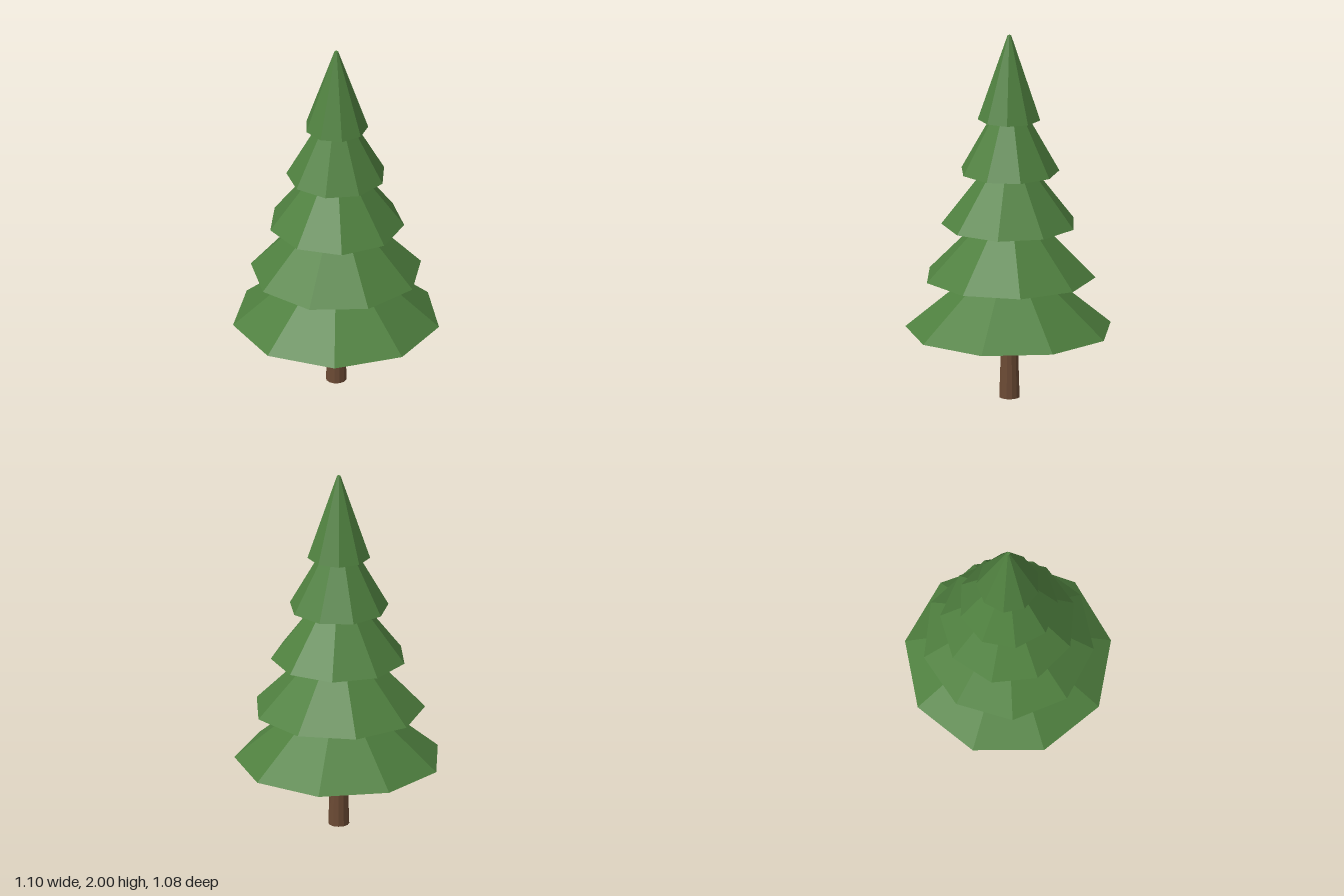
import * as THREE from 'three';

const SIDES = 9;
const TIERS = 5;
const AXIS_Z = 0.017; // the odd-sided skirt puts the trunk axis slightly forward

export function createModel() {
  const tree = new THREE.Group();
  tree.name = 'pineTree';

  const needles = new THREE.MeshStandardMaterial({ color: 0x4f803f });
  needles.name = 'needleGreen';
  needles.flatShading = true;
  const bark = new THREE.MeshStandardMaterial({ color: 0x6b4a34 });
  bark.name = 'barkBrown';
  bark.flatShading = true;

  // Tapered trunk, running a little way into the lowest tier
  const trunk = new THREE.Mesh(new THREE.CylinderGeometry(0.042, 0.056, 0.42, 12), bark);
  trunk.name = 'trunk';
  trunk.position.set(0, 0.21, AXIS_Z);
  tree.add(trunk);

  // Stacked foliage cones, each narrower and turned against the one below
  const height = 0.46;
  for (let i = 0; i < TIERS; i++) {
    const radius = 0.557 - i * 0.0968;
    const cone = new THREE.Mesh(new THREE.CylinderGeometry(0.01, radius, height, SIDES), needles);
    cone.name = `foliageTier${i + 1}`;
    cone.position.set(0, 0.375 + i * 0.29125 + height / 2, AXIS_Z);
    cone.rotation.y = Math.PI / SIDES - i * 0.3;
    tree.add(cone);
  }
  return tree;
}
